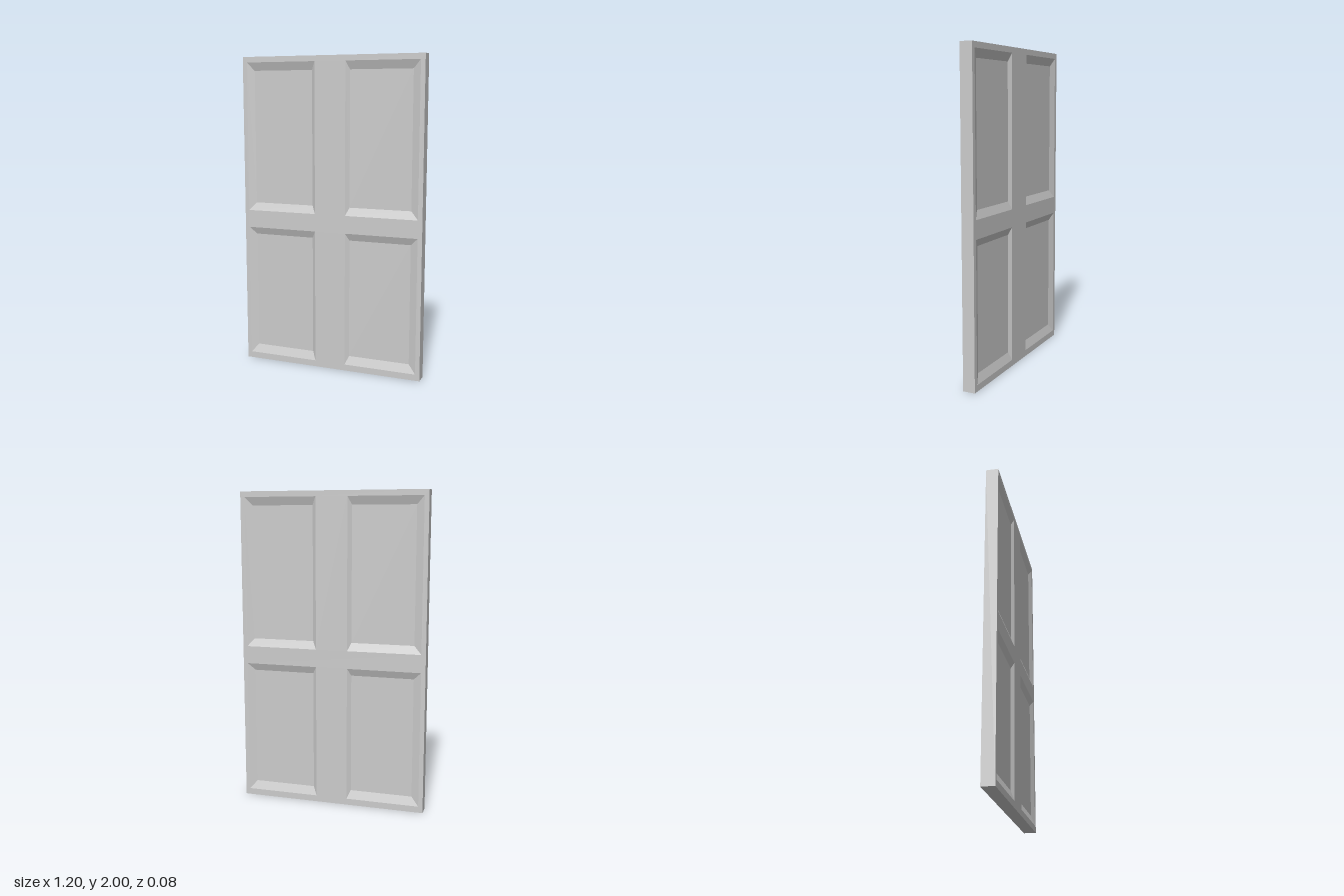
import * as THREE from 'three';

const HALF = 0.039;   // half the thickness of the door
const DEPTH = 0.018;  // depth of each sunken panel
const DOOR = { x0: -0.6, x1: 0.6, y0: 0, y1: 2 };

// Sunken panels: outer rectangle, then the floor rectangle inside the bevel
const rows = [
  { name: 'lower', y: [0.04, 0.9], floorY: [0.095, 0.855] },
  { name: 'upper', y: [1.013, 1.965], floorY: [1.064, 1.913] },
];
const columns = [
  { name: 'Right', x: [-0.572, -0.102], floorX: [-0.525, -0.126] },
  { name: 'Left', x: [0.102, 0.572], floorX: [0.126, 0.525] },
];

const rect = ([x0, x1], [y0, y1]) => ({ x0, x1, y0, y1 });

// Corners of a rectangle, counter-clockwise seen from +z
const ring = (r, z) => [[r.x0, r.y0, z], [r.x1, r.y0, z], [r.x1, r.y1, z], [r.x0, r.y1, z]];

const path = (p, r) => {
  p.setFromPoints(ring(r, 0).map(([x, y]) => new THREE.Vector2(x, y)));
  p.closePath();
  return p;
};

// Four flat quads joining two rings
function loft(a, b) {
  return a.map((_, i) => [a[i], a[(i + 1) % 4], b[(i + 1) % 4], b[i]]);
}

function quadGeometry(quads) {
  const positions = quads.flatMap(([a, b, c, d]) => [a, b, c, a, c, d].flat());
  const geometry = new THREE.BufferGeometry();
  geometry.setAttribute('position', new THREE.Float32BufferAttribute(positions, 3));
  geometry.computeVertexNormals();
  return geometry;
}

export function createModel() {
  const door = new THREE.Group();
  door.name = 'panelDoor';
  const material = new THREE.MeshStandardMaterial({ color: 0xcccccc, flatShading: true });

  const add = (parent, name, geometry) => {
    const mesh = new THREE.Mesh(geometry, material);
    mesh.name = name;
    parent.add(mesh);
    return mesh;
  };

  // One side of the door: flat stiles and rails around four bevelled panels
  function buildSide(name) {
    const side = new THREE.Group();
    side.name = name;
    const frame = path(new THREE.Shape(), DOOR);
    for (const row of rows) {
      for (const column of columns) {
        const outer = rect(column.x, row.y);
        const floor = ring(rect(column.floorX, row.floorY), HALF - DEPTH);
        frame.holes.push(path(new THREE.Path(), outer));
        const label = row.name + column.name;
        add(side, label + 'Bevel', quadGeometry(loft(ring(outer, HALF), floor)));
        add(side, label + 'Panel', quadGeometry([floor]));
      }
    }
    add(side, 'stilesAndRails', new THREE.ShapeGeometry(frame)).position.z = HALF;
    door.add(side);
    return side;
  }

  buildSide('frontSide');
  buildSide('backSide').rotation.y = Math.PI;

  // Outer edges joining the two sides
  add(door, 'doorEdges', quadGeometry(loft(ring(DOOR, -HALF), ring(DOOR, HALF))));

  return door;
}
